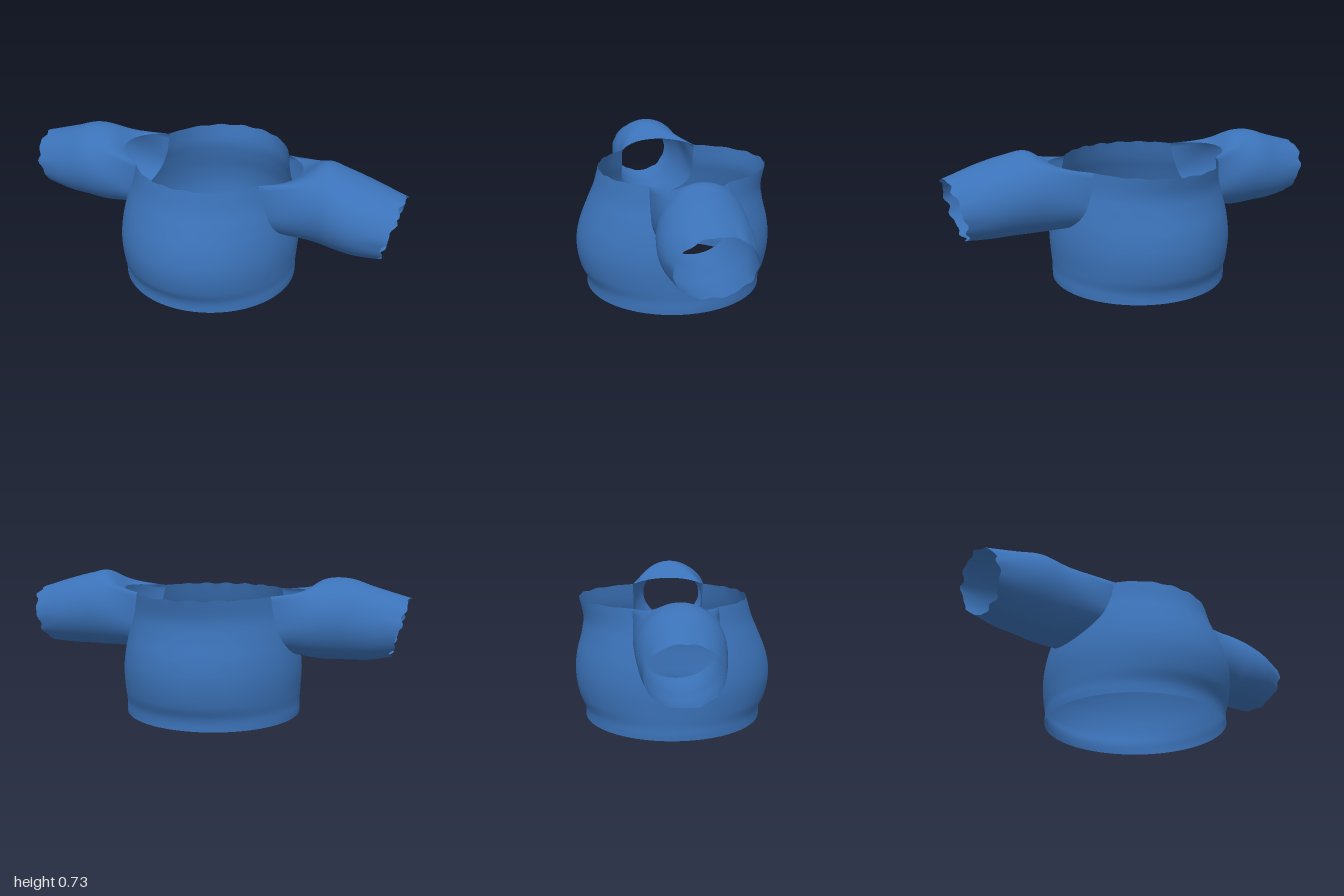
import * as THREE from 'three';
import { mergeVertices } from 'three/addons/utils/BufferGeometryUtils.js';

const N = 64;                       // points round a sleeve
const MID = 0.475, LOW = 0.155, HIGH = 0.157; // armhole centre, depth below and above

// Torso outline: height, half width, front depth, back depth
const rows = [
  [0, 0.46, 0.464, 0.464], [0.03, 0.461, 0.463, 0.463], [0.06, 0.459, 0.468, 0.467],
  [0.12, 0.462, 0.495, 0.493], [0.24, 0.466, 0.512, 0.512], [0.34, 0.455, 0.494, 0.503],
  [0.45, 0.43, 0.45, 0.475], [0.53, 0.405, 0.415, 0.464], [0.632, 0.385, 0.385, 0.485],
];
const outline = new THREE.CubicInterpolant(rows.map(r => r[0]), rows.flatMap(r => r.slice(1)), 3);
const torsoAt = (y) => [...outline.evaluate(y)];

// Sleeve stations: x, lean, centre y, half height, back z, front z
const sleeves = {
  leftSleeve: { side: 1, hole: [-0.21, 0.185], stations: [
    [0.6, 0, 0.521, 0.203, -0.202, 0.2], [0.7, 0, 0.513, 0.196, -0.195, 0.225],
    [0.82, 0.015, 0.495, 0.18, -0.183, 0.234], [0.96, 0.036, 0.473, 0.152, -0.155, 0.205]] },
  rightSleeve: { side: -1, hole: [-0.2, 0.215], stations: [
    [0.58, 0, 0.503, 0.202, -0.192, 0.22], [0.7, 0, 0.508, 0.204, -0.184, 0.216],
    [0.82, 0.01, 0.49, 0.182, -0.17, 0.205], [0.955, 0.04, 0.475, 0.147, -0.15, 0.185]] },
};

// Unit armhole shape: round below, square above so that it meets the neckline
function holeShape(t) {
  const c = Math.cos(t), s = Math.sin(t);
  const m = s > 0 ? Math.max(Math.abs(c), s) : 1;
  return [c / m, s / m];
}

// Smooth surface through a grid of points
function sheet(grid, flip) {
  const pos = grid.flat().flatMap(p => [p.x, p.y, p.z]);
  const w = grid[0].length, index = [];
  for (let j = 0; j < grid.length - 1; j++) for (let i = 0; i < w - 1; i++) {
    const a = j * w + i, b = a + 1, c = a + w, d = c + 1;
    if (flip) index.push(a, c, b, b, c, d);
    else index.push(a, b, c, b, d, c);
  }
  const g = new THREE.BufferGeometry();
  g.setAttribute('position', new THREE.Float32BufferAttribute(pos, 3));
  g.setIndex(index);
  const merged = mergeVertices(g, 1e-4);
  merged.computeVertexNormals();
  return merged;
}

// Torso: full rings below the armholes, front and back panels between them
function torsoGeometry() {
  const levels = [];
  for (let i = 0; i < 24; i++) levels.push([i / 24 * (MID - LOW), 0]);
  for (let i = -N / 4; i <= N / 8; i++) {
    const [z, s] = holeShape(i / N * Math.PI * 2);
    levels.push([MID + s * (s < 0 ? LOW : HIGH), z]);
  }
  return sheet(levels.map(([y, open], k) => {
    const [w, front, back] = torsoAt(y);
    const row = [];
    for (const f of [1, -1]) {
      const d = f > 0 ? front : back;
      const edge = (s) => Math.asin(open * Math.abs(sleeves[s].hole[f > 0 ? 1 : 0]) / d);
      const l = edge('leftSleeve'), r = Math.PI - edge('rightSleeve');
      const a0 = f > 0 ? l : -r, a1 = f > 0 ? r : -l;
      for (let i = 0; i <= 48; i++) {
        const a = a0 + (a1 - a0) * i / 48;
        // slightly uneven neckline
        const wave = k === levels.length - 1 ? 0.004 * Math.sin(i * 0.9) * Math.sin(Math.PI * i / 48) : 0;
        row.push(new THREE.Vector3(w * Math.cos(a), y + wave, d * Math.sin(a)));
      }
    }
    return row;
  }), true);
}

// The torso grid holds both panels in one row; drop the faces spanning the armholes
function openArmholes(g) {
  const p = g.attributes.position, keep = [];
  for (let i = 0; i < g.index.count; i += 3) {
    const t = [0, 1, 2].map(k => g.index.getX(i + k));
    const zs = t.map(v => p.getZ(v));
    const spans = Math.max(...zs) > 0.005 && Math.min(...zs) < -0.005;
    if (!spans) keep.push(...t);
  }
  g.setIndex(keep);
  g.computeVertexNormals();
  return g;
}

// Sleeve: lengthwise curves from the armhole seam to a ragged cuff
function sleeveGeometry({ side, hole, stations }) {
  const lines = [];
  for (let i = 0; i <= N; i++) {
    const t = (i % N) / N * Math.PI * 2, c = Math.cos(t), s = Math.sin(t);
    const [hz, hy] = holeShape(t);
    const z = hz * Math.abs(hole[hz > 0 ? 1 : 0]);
    const y = MID + hy * (hy < 0 ? LOW : HIGH);
    const [w, front, back] = torsoAt(y);
    let x = w * Math.sqrt(1 - (z / (z > 0 ? front : back)) ** 2);
    const onTop = hy > 0.999 ? 1 - hz * hz : 0;
    x += (0.485 - x) * onTop;
    const pts = [new THREE.Vector3(side * x, y + 0.012 * onTop, z)];
    stations.forEach(([sx, lean, cy, h, zb, zf], k) => {
      const rag = k === 3 ? 0.007 * Math.sin(t * 9) + 0.005 * Math.sin(t * 14 + side) : 0;
      pts.push(new THREE.Vector3(side * (sx + lean * s + rag), cy + h * s, (zb + zf) / 2 + (zf - zb) / 2 * c));
    });
    lines.push(new THREE.CatmullRomCurve3(pts));
  }
  const grid = [];
  for (let j = 0; j <= 28; j++) grid.push(lines.map(l => l.getPoint(j / 28)));
  return sheet(grid, side > 0);
}

export function createModel() {
  const cloth = new THREE.MeshStandardMaterial({ color: 0x3b72b8, side: THREE.DoubleSide });
  cloth.name = 'blue cloth';
  const shirt = new THREE.Group();
  shirt.name = 'shirt';
  const add = (name, geometry) => {
    const mesh = new THREE.Mesh(geometry, cloth);
    mesh.name = name;
    shirt.add(mesh);
  };
  add('torso', openArmholes(torsoGeometry()));
  for (const [name, spec] of Object.entries(sleeves)) add(name, sleeveGeometry(spec));
  return shirt;
}
